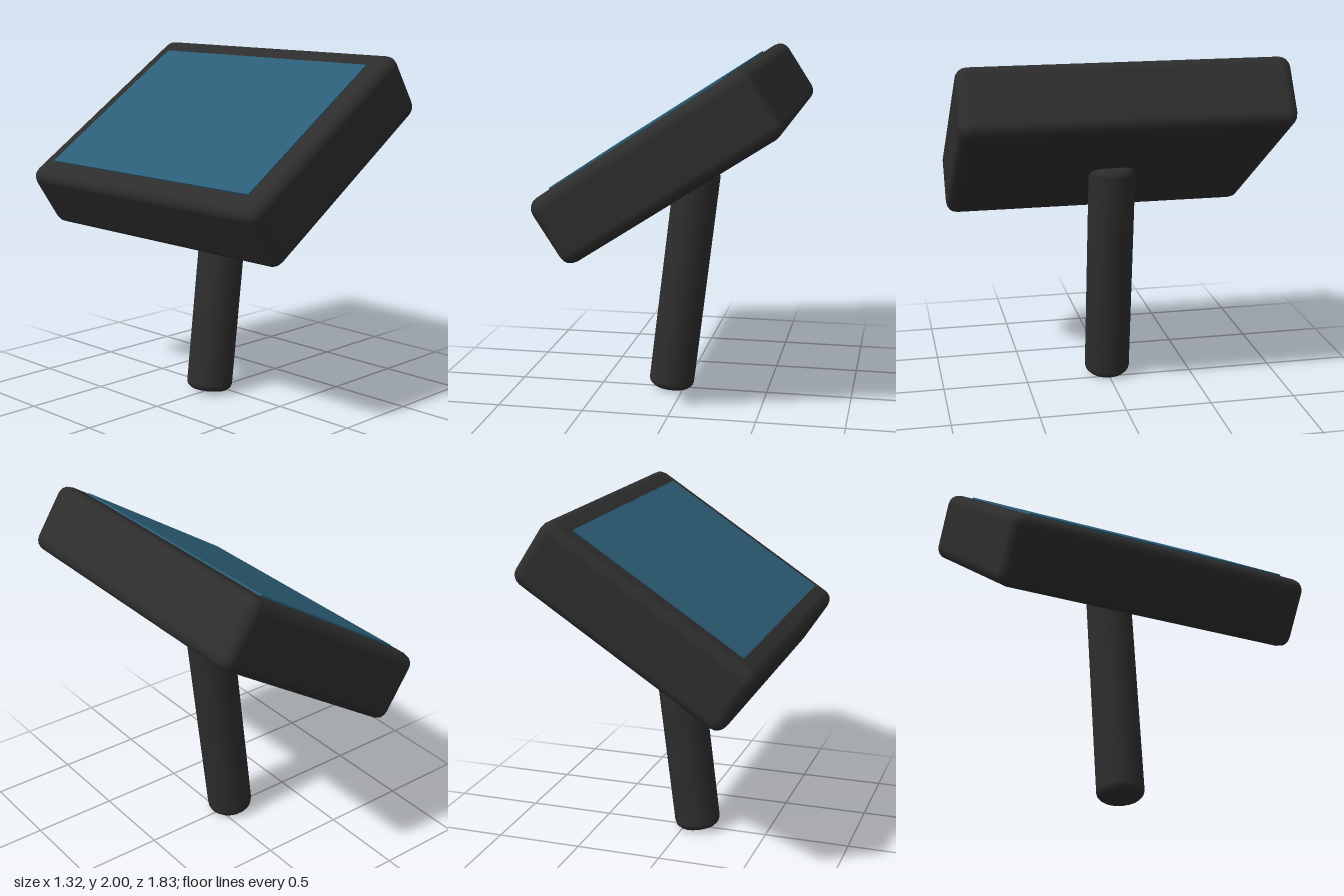
import * as THREE from 'three';
import { RoundedBoxGeometry } from 'three/addons/geometries/RoundedBoxGeometry.js';

export function createModel() {
  const model = new THREE.Group();
  model.name = 'tiltedPanelOnPost';

  const casing = new THREE.MeshStandardMaterial({ color: 0x2d2d2d });
  casing.name = 'dark casing';
  const glass = new THREE.MeshStandardMaterial({ color: 0x2c5d76 });
  glass.name = 'blue panel';

  const add = (parent, name, geometry, material, x, y, z) => {
    const mesh = new THREE.Mesh(geometry, material);
    mesh.name = name;
    mesh.position.set(x, y, z);
    parent.add(mesh);
    return mesh;
  };

  // Tilted head: rounded housing with a thin inset panel on its upper face
  const head = new THREE.Group();
  head.name = 'head';
  head.position.set(0, 1.485, 0);
  head.rotation.z = THREE.MathUtils.degToRad(33);
  model.add(head);
  add(head, 'housing', new RoundedBoxGeometry(1.38, 0.4, 1.83, 2, 0.066), casing, 0, 0, 0);
  add(head, 'panel', new THREE.BoxGeometry(1.106, 0.009, 1.594), glass, -0.004, 0.2045, 0);

  // Leaning post with rounded rims, its top sunk into the housing
  const radius = 0.135, half = 0.674, bevel = 0.045;
  const profile = [new THREE.Vector2(0, -half)];
  for (const end of [-1, 1]) {
    for (let i = 0; i <= 3; i++) {
      const a = (end < 0 ? i : 3 - i) / 3 * Math.PI / 2;
      profile.push(new THREE.Vector2(
        radius - bevel + bevel * Math.sin(a),
        end * (half - bevel + bevel * Math.cos(a))
      ));
    }
  }
  profile.push(new THREE.Vector2(0, half));
  const post = add(model, 'post', new THREE.LatheGeometry(profile, 20), casing, 0.0025, 0.687, 0);
  post.rotation.z = -THREE.MathUtils.degToRad(7);

  return model;
}
